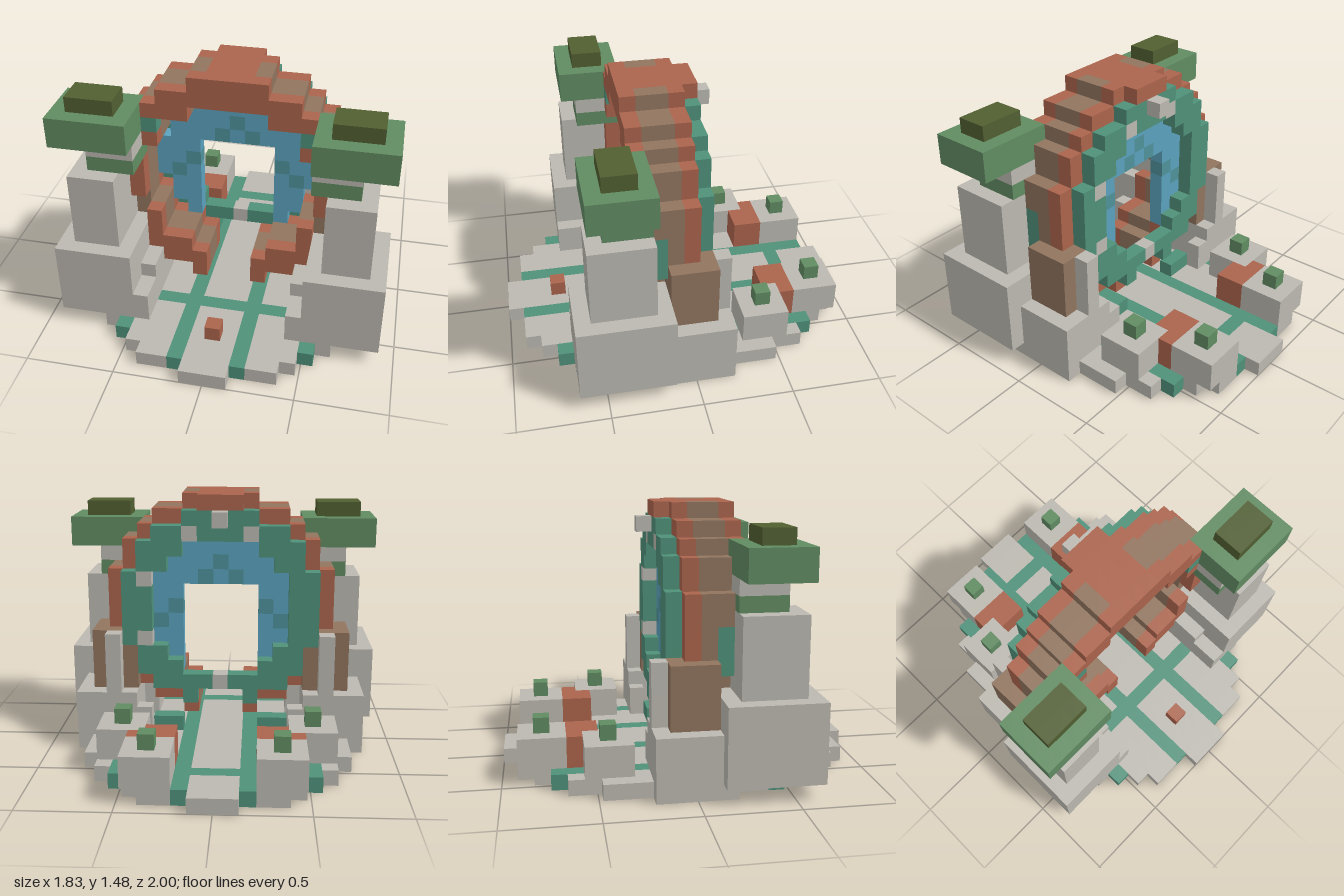
import * as THREE from 'three';
import { mergeGeometries } from 'three/addons/utils/BufferGeometryUtils.js';

const S = 2 / 23; // edge of one cube

const colours = {
  stone: 0xbcb9b1, brick: 0xab644c, clay: 0x91755f, moss: 0x4f917a,
  leaf: 0x618c62, darkLeaf: 0x515f31, portalBlue: 0x5ba3bf, portalTeal: 0x4f929b,
};

export function createModel() {
  const mats = {};
  for (const [name, color] of Object.entries(colours)) {
    mats[name] = new THREE.MeshStandardMaterial({ color });
    mats[name].name = name;
  }

  // Cubes on a grid; later parts replace earlier ones
  const cells = new Map();
  const key = (x, y, z) => `${x},${y},${z}`;
  const put = (part, mat, x, y, z) => cells.set(key(x, y, z), { part, mat, x, y, z });
  const block = (part, mat, [x0, x1], [y0, y1], [z0, z1]) => {
    for (let x = x0; x <= x1; x++)
      for (let y = y0; y <= y1; y++)
        for (let z = z0; z <= z1; z++) put(part, mat, x, y, z);
  };
  // The same block on both sides
  const pair = (part, mat, [x0, x1], ys, zs) => {
    block(part, mat, [x0, x1], ys, zs);
    block(part, mat, [-x1, -x0], ys, zs);
  };

  // Oval floor with mossy grooves
  const floorHalf = [9, 9, 9, 8, 8, 8, 7, 7, 6, 5, 4, 1];
  for (let z = -11; z <= 11; z++) {
    const h = floorHalf[Math.abs(z)];
    for (let x = -h; x <= h; x++) {
      const groove = Math.abs(x) === 2 || Math.abs(x) === 6 || z === 5 || z === -8;
      put('floor', groove ? 'moss' : 'stone', x, 0, z);
    }
  }

  // Stone mass and clay buttresses beside the ring
  pair('sideRock', 'stone', [6, 9], [1, 3], [-2, 1]);
  pair('sideRock', 'stone', [5, 5], [1, 2], [-2, -2]);
  pair('sideColumn', 'stone', [7, 7], [4, 7], [-2, -2]);
  pair('buttress', 'clay', [6, 8], [4, 7], [-1, 1]);

  // Round gateway: mossy back, brick core, clay middle, brick front
  const cy = 9;
  const portalHalf = [5, 5, 4, 4, 3];
  for (let x = -7; x <= 7; x++) {
    for (let dy = -7; dy <= 7; dy++) {
      const d = Math.hypot(x, dy), ax = Math.abs(x), ay = Math.abs(dy), y = cy + dy;
      const gap = dy <= -6 && ax <= 1;
      if (d > 4.9 && d < 6.6 && !gap) {
        const bare = (ax === 2 && dy === 5) || (x === 5 && ay === 2) || (x === 0 && dy === -5);
        put('ringBack', bare ? 'stone' : 'moss', x, y, -1);
      }
      if (d > 5.7 && d < 7.4 && !gap) {
        put('ringCore', 'brick', x, y, 0);
        const keystone = ax <= 1 && dy === 7;
        for (const z of [1, 2]) put('ringMiddle', keystone ? 'brick' : 'clay', x, y, z);
        if (!(ax === 6 && dy <= -2)) put('ringFront', 'brick', x, y, 3);
      }
      // Portal sheet with a rectangular opening
      const opening = ax <= 2 && dy >= -4 && dy <= 1;
      if (ay <= 4 && ax <= portalHalf[ay] && !opening) {
        const spot = (ax === 3 && y === 9) || (ax === 4 && y === 8) ||
          (x === 0 && y === 12) || (ax === 1 && y === 11);
        put('portal', spot ? 'portalTeal' : 'portalBlue', x, y, 0);
      }
    }
  }
  block('keystone', 'brick', [-1, 1], [16, 16], [-1, -1]);
  block('backKnob', 'stone', [0, 0], [15, 15], [-2, -2]);
  pair('ringVine', 'moss', [5, 5], [13, 13], [3, 3]);
  pair('sideVine', 'moss', [7, 7], [7, 9], [2, 2]);
  pair('ringFoot', 'moss', [3, 4], [1, 1], [-1, -1]);

  // Front towers with leafy tops
  pair('towerBase', 'stone', [6, 10], [1, 5], [2, 7]);
  pair('towerStep', 'stone', [5, 5], [1, 2], [2, 7]);
  pair('towerStep', 'stone', [5, 5], [3, 3], [2, 5]);
  pair('towerShaft', 'stone', [7, 9], [6, 10], [3, 6]);
  pair('towerCollar', 'leaf', [6, 8], [11, 11], [3, 5]);
  pair('towerNeck', 'stone', [6, 8], [12, 12], [3, 5]);
  pair('canopy', 'leaf', [6, 10], [13, 14], [3, 6]);
  pair('canopyTop', 'darkLeaf', [7, 9], [15, 15], [4, 5]);

  // Low rocks, brick rubble and shrubs behind the gateway
  pair('backRock', 'stone', [3, 5], [1, 2], [-10, -8]);
  pair('backRock', 'stone', [5, 7], [1, 2], [-6, -4]);
  pair('rubble', 'brick', [3, 5], [1, 2], [-7, -7]);
  pair('rubble', 'brick', [3, 4], [1, 2], [-6, -6]);
  pair('shrub', 'leaf', [4, 4], [3, 3], [-9, -9]);
  pair('shrub', 'leaf', [6, 6], [3, 3], [-5, -5]);
  block('looseBrick', 'brick', [0, 0], [1, 1], [8, 8]);

  // One square per cube side
  const q = Math.PI / 2;
  const sides = [
    [[1, 0, 0], 0, q], [[-1, 0, 0], 0, -q], [[0, 1, 0], -q, 0],
    [[0, -1, 0], q, 0], [[0, 0, 1], 0, 0], [[0, 0, -1], 0, 2 * q],
  ].map(([dir, rx, ry]) => ({
    dir,
    face: new THREE.PlaneGeometry(S, S).rotateX(rx).rotateY(ry)
      .translate(dir[0] * S / 2, dir[1] * S / 2, dir[2] * S / 2),
  }));

  // Keep only exposed squares, grouped by part and colour
  const groups = new Map();
  for (const c of cells.values()) {
    const id = `${c.part}|${c.mat}`;
    for (const { dir, face } of sides) {
      if (cells.has(key(c.x + dir[0], c.y + dir[1], c.z + dir[2]))) continue;
      if (!groups.has(id)) groups.set(id, []);
      groups.get(id).push(face.clone().translate(c.x * S, (c.y + 0.5) * S, c.z * S));
    }
  }

  const model = new THREE.Group();
  model.name = 'ruinedGateway';
  for (const [id, faces] of groups) {
    const [part, mat] = id.split('|');
    const mesh = new THREE.Mesh(mergeGeometries(faces), mats[mat]);
    mesh.name = part;
    model.add(mesh);
  }
  return model;
}
